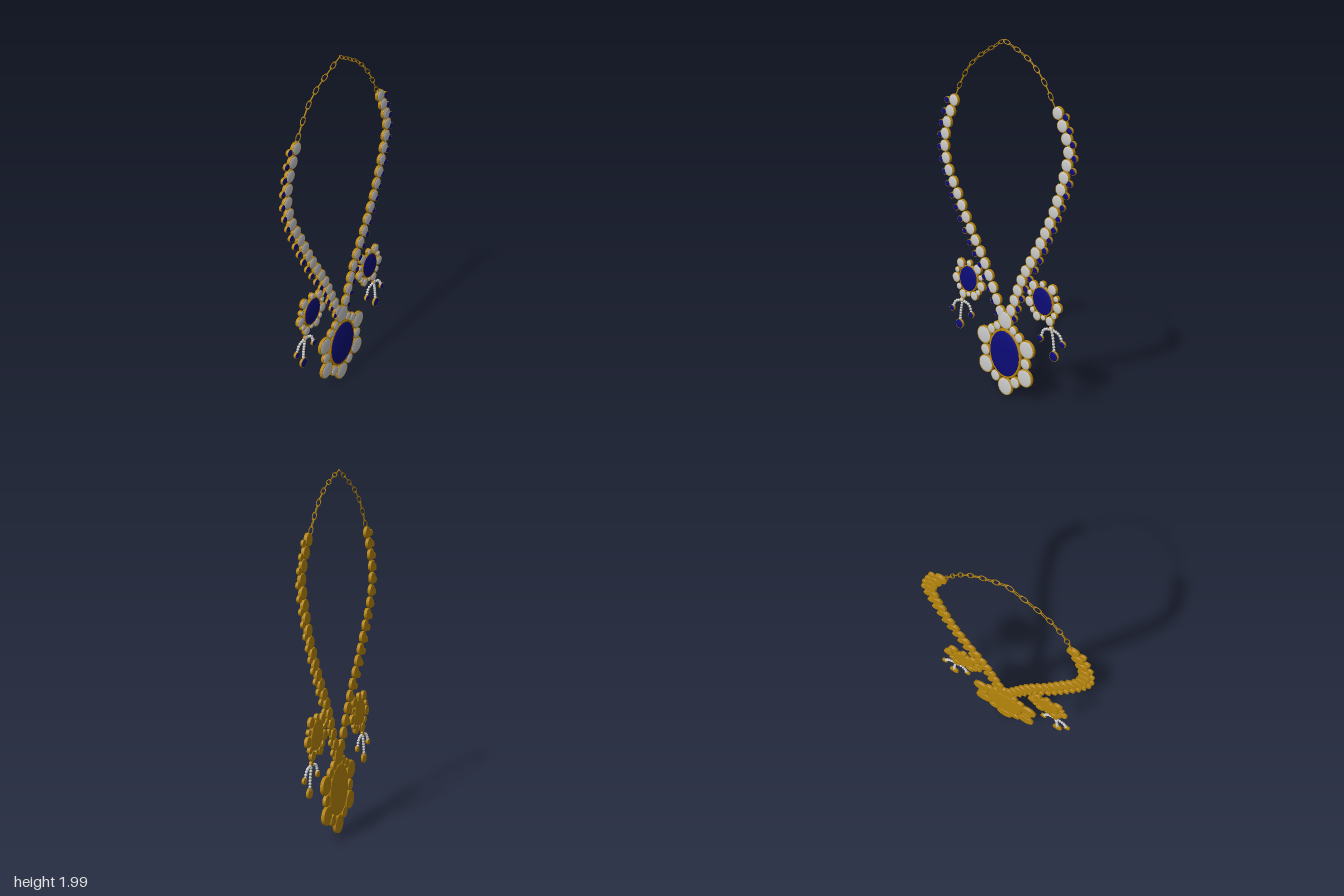
import * as THREE from 'three';
import { toCreasedNormals } from 'three/addons/utils/BufferGeometryUtils.js';

const gold = new THREE.MeshStandardMaterial({ color: 0xb8860b });
const blue = new THREE.MeshStandardMaterial({ color: 0x0c0c78 });
const pearl = new THREE.MeshStandardMaterial({ color: 0xcccccc });

const V2 = (x, y) => new THREE.Vector2(x, y);
const curve = (pts) => new THREE.CatmullRomCurve3(pts.map(([x, y]) => new THREE.Vector3(x, y, -0.006)));

// Unit-radius lathe turned so its axis faces +z
const lathe = (pts, seg = 24) => new THREE.LatheGeometry(pts, seg).rotateX(Math.PI / 2);

// Bezel cup: flat back, straight wall, thin rim
const cupGeo = toCreasedNormals(lathe([
  V2(0, 0), V2(0.95, 0), V2(1, 0.12), V2(1, 0.95), V2(0.98, 1), V2(0.9, 1), V2(0.88, 0.9),
]), 0.5);

// Shallow domed gem
const domePts = [];
for (let i = 0; i <= 6; i++) {
  const a = (i / 6) * Math.PI / 2;
  domePts.push(V2(Math.max(0, Math.cos(a)), Math.sin(a)));
}
const domeGeo = lathe(domePts);

// A stone: gold cup with a dome set in it
function stone(name, x, y, rx, ry, material, { back = -0.016, front = 0.002, height = 0.005, tilt = 0 } = {}) {
  const g = new THREE.Group();
  g.name = name;
  const cup = new THREE.Mesh(cupGeo, gold);
  cup.name = 'bezel';
  cup.scale.set(rx, ry, front - back);
  cup.position.z = back;
  const dome = new THREE.Mesh(domeGeo, material);
  dome.name = 'gem';
  dome.scale.set(rx * 0.93, ry * 0.93, height);
  dome.position.z = front - 0.001;
  g.add(cup, dome);
  g.position.set(x, y, 0);
  g.rotation.z = tilt;
  return g;
}

// Row of stones evenly spaced on a curve
function strand(name, pts, count, r, material, options) {
  const g = new THREE.Group();
  g.name = name;
  const c = curve(pts);
  for (let i = 0; i < count; i++) {
    const p = c.getPointAt(i / (count - 1));
    g.add(stone('strandStone', p.x, p.y, r, r, material, options));
  }
  return g;
}

// Chain of stretched links, each rolled against its neighbour
const linkGeo = new THREE.TorusGeometry(0.011, 0.0023, 5, 8).scale(2.1, 1, 1);
function chain(name, pts, count) {
  const g = new THREE.Group();
  g.name = name;
  const c = curve(pts);
  for (let i = 0; i < count; i++) {
    const u = (i + 0.5) / count;
    const t = c.getTangentAt(u);
    const link = new THREE.Mesh(linkGeo, gold);
    link.name = 'chainLink';
    link.position.copy(c.getPointAt(u));
    link.rotation.order = 'ZYX';
    link.rotation.set(i % 2 ? 0.75 : -0.75, 0, Math.atan2(t.y, t.x));
    g.add(link);
  }
  return g;
}

// Large pendant at the bottom
function pendant() {
  const g = new THREE.Group();
  g.name = 'pendant';
  g.add(stone('pendantCentre', 0, 0, 0.118, 0.147, blue, { front: 0.005, height: 0.011 }));
  g.add(stone('pendantPearl', 0, 0.2, 0.054, 0.054, pearl, { front: 0.003 }));
  g.add(stone('pendantPearl', 0, -0.2, 0.053, 0.053, pearl, { front: 0.003 }));
  for (const s of [-1, 1]) {
    const ring = [
      [0.16, 0.069, 0.053], [0.147, -0.105, 0.053], [0.151, -0.019, 0.033],
      [0.074, -0.155, 0.033], [0.103, 0.122, 0.028], [0.06, 0.153, 0.026],
    ];
    for (const [x, y, r] of ring) g.add(stone('pendantPearl', s * x, y, r, r, pearl, { front: 0.003 }));
  }
  g.position.set(0.013, 0.255, 0);
  return g;
}

// Side flower with three beaded tassels; s mirrors it in x
const beadGeo = new THREE.SphereGeometry(0.0085, 10, 8);
function flower(name, cx, cy, s) {
  const g = new THREE.Group();
  g.name = name;
  g.add(stone('flowerCentre', 0, 0, 0.071, 0.083, blue, { front: 0.004, height: 0.008, tilt: -0.3 * s }));
  const petals = [
    [-0.063, 0.079, 0.029], [-0.1, -0.016, 0.029], [0.042, -0.095, 0.027], [0.095, -0.026, 0.029],
    [0.069, 0.07, 0.029], [-0.048, -0.103, 0.027], [0.005, 0.092, 0.019], [-0.09, 0.033, 0.017],
    [0.093, 0.025, 0.017], [-0.077, -0.065, 0.019], [-0.003, -0.094, 0.016], [0.073, -0.068, 0.017],
  ];
  for (const [x, y, r] of petals) g.add(stone('flowerPearl', s * x, y, r, r, pearl));
  g.add(stone('tasselTop', -0.058 * s, -0.143, 0.014, 0.014, pearl, { back: -0.012 }));

  const tassels = [
    { via: [-0.11, -0.164], end: [-0.138, -0.212], r: 0.019, n: 7 },
    { via: [-0.005, -0.164], end: [0.016, -0.217], r: 0.019, n: 7 },
    { via: [-0.072, -0.217], end: [-0.079, -0.296], r: 0.029, n: 9 },
  ];
  for (const { via, end, r, n } of tassels) {
    const c = curve([[-0.058, -0.148], via, end].map(([x, y]) => [s * x, y]));
    for (let i = 1; i < n; i++) {
      const bead = new THREE.Mesh(beadGeo, pearl);
      bead.name = 'tasselBead';
      bead.position.copy(c.getPointAt(i / n));
      g.add(bead);
    }
    const wire = new THREE.Mesh(new THREE.TubeGeometry(c, 12, 0.004, 6), gold);
    wire.name = 'tasselWire';
    g.add(wire, stone('tasselStone', s * end[0], end[1], r, r, blue, { back: -0.012 }));
  }
  g.position.set(cx, cy, 0);
  return g;
}

export function createModel() {
  const model = new THREE.Group();
  model.name = 'necklace';

  // Pearl strands
  model.add(strand('leftPearls', [
    [0.368, 1.66], [0.426, 1.54], [0.442, 1.47], [0.415, 1.34], [0.352, 1.143],
    [0.262, 0.952], [0.135, 0.725], [0.056, 0.524],
  ], 19, 0.034, pearl));
  model.add(strand('rightPearls', [
    [-0.368, 1.635], [-0.421, 1.513], [-0.447, 1.381], [-0.421, 1.249], [-0.357, 1.127],
    [-0.262, 0.947], [-0.151, 0.767], [-0.087, 0.635], [-0.024, 0.497],
  ], 19, 0.034, pearl));

  // Small blue stones along the outer edges
  const small = { back: -0.013, front: 0.001, height: 0.004 };
  model.add(strand('leftBlueStones', [
    [0.42, 1.645], [0.468, 1.513], [0.479, 1.434], [0.447, 1.296], [0.373, 1.095],
    [0.257, 0.852], [0.167, 0.688], [0.082, 0.481],
  ], 19, 0.019, blue, small));
  model.add(strand('rightBlueStones', [
    [-0.421, 1.63], [-0.468, 1.497], [-0.484, 1.344], [-0.442, 1.2], [-0.352, 1.01],
    [-0.257, 0.841], [-0.172, 0.72], [-0.05, 0.481],
  ], 19, 0.019, blue, small));

  // Neck chain
  model.add(chain('leftChain', [
    [0, 1.988], [0.103, 1.942], [0.177, 1.9], [0.246, 1.836], [0.294, 1.772], [0.345, 1.685],
  ], 12));
  model.add(chain('rightChain', [
    [0, 1.988], [-0.108, 1.931], [-0.188, 1.884], [-0.257, 1.825], [-0.31, 1.751], [-0.357, 1.665],
  ], 12));

  model.add(pendant());
  model.add(flower('rightFlower', -0.267, 0.63, 1));
  model.add(flower('leftFlower', 0.286, 0.64, -1));
  return model;
}
